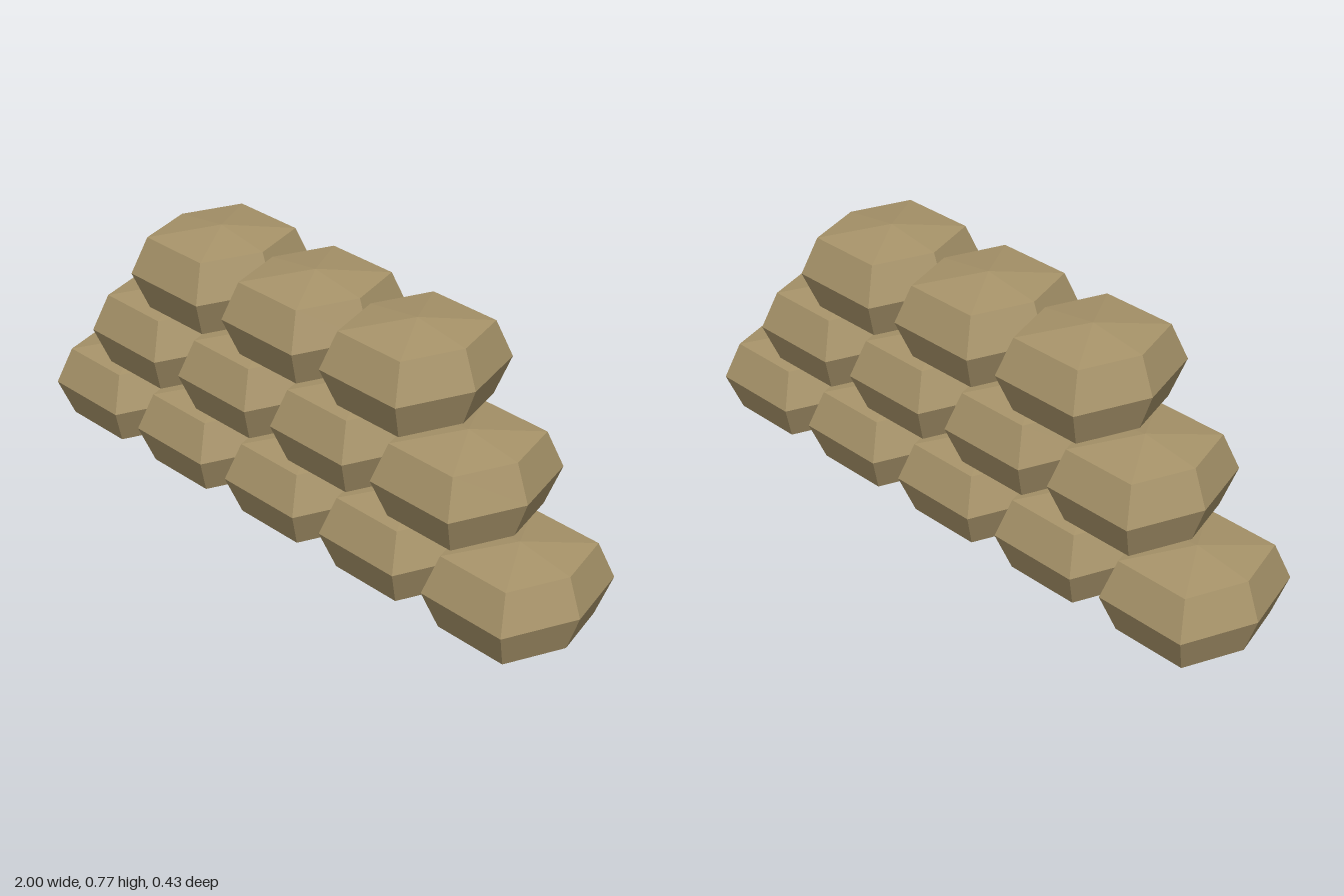
import * as THREE from 'three';

// Squared-off low-poly bag: a coarse sphere pushed outwards into a superellipsoid
function bagGeometry(rx, ry, rz) {
  const geometry = new THREE.SphereGeometry(1, 6, 4);
  const p = geometry.attributes.position;
  const swell = (v) => (Math.abs(v) < 1e-6 ? 0 : Math.sign(v) * Math.abs(v) ** 0.6);
  for (let i = 0; i < p.count; i++) {
    p.setXYZ(i, swell(p.getX(i)) * rx, swell(p.getY(i)) * ry, swell(p.getZ(i)) * rz);
  }
  geometry.computeVertexNormals();
  return geometry;
}

export function createModel() {
  const wall = new THREE.Group();
  wall.name = 'sandbagWall';

  const burlap = new THREE.MeshStandardMaterial({ color: 0xa8946a, flatShading: true });
  burlap.name = 'burlap';

  const ry = 0.1335, spacing = 0.392, rowHeight = 0.25;
  const geometry = bagGeometry(0.216, ry, 0.234);

  // Three stacked rows, each one bag shorter than the row below
  [5, 4, 3].forEach((count, level) => {
    const row = new THREE.Group();
    row.name = `row${level + 1}`;
    row.position.y = ry + level * rowHeight;
    for (let i = 0; i < count; i++) {
      const bag = new THREE.Mesh(geometry, burlap);
      bag.name = `sandbag${i + 1}`;
      bag.position.x = (i - (count - 1) / 2) * spacing;
      row.add(bag);
    }
    wall.add(row);
  });

  return wall;
}
